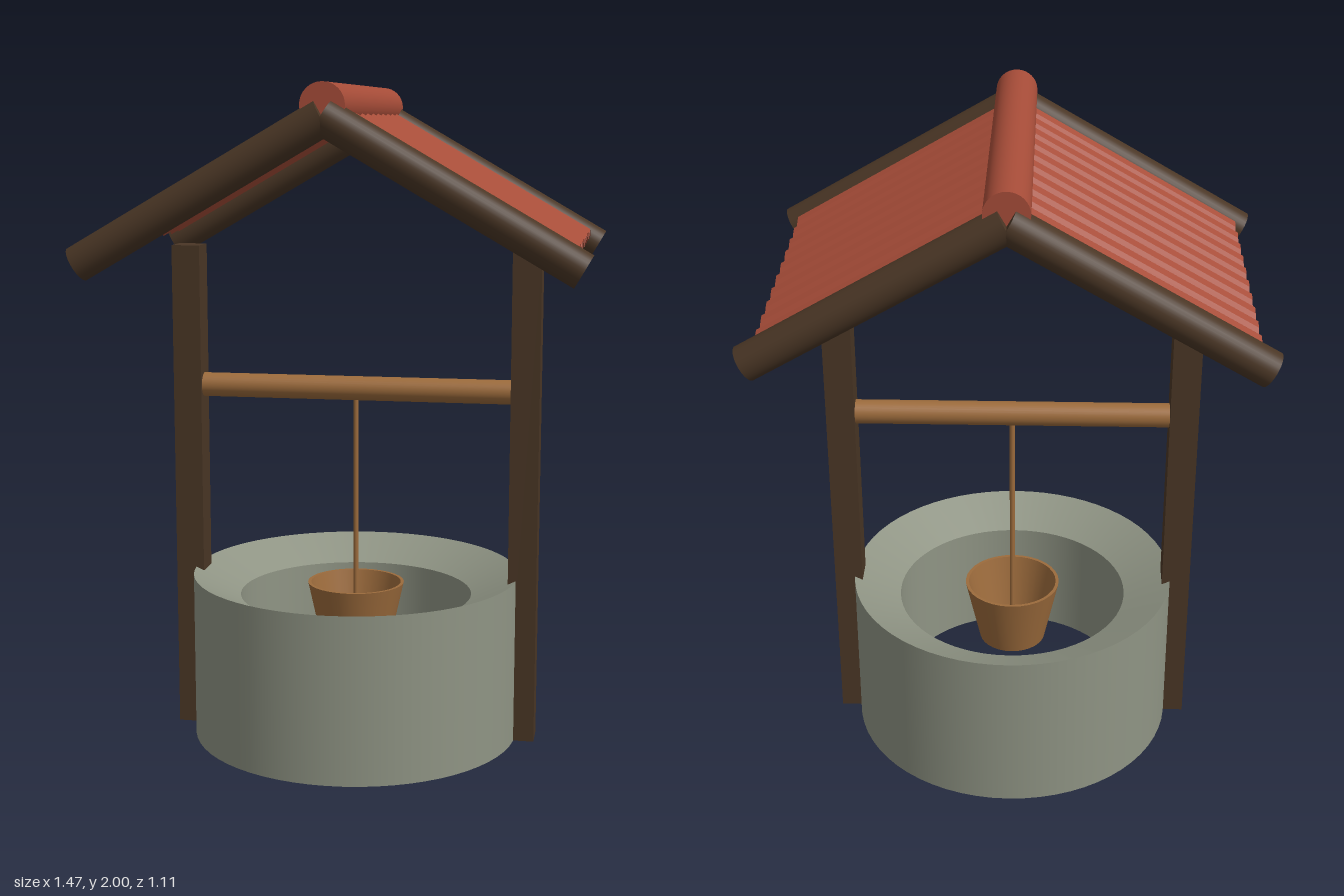
import * as THREE from 'three';
import { mergeGeometries } from 'three/addons/utils/BufferGeometryUtils.js';

const material = (name, color, side = THREE.FrontSide) => {
  const m = new THREE.MeshStandardMaterial({ color, side });
  m.name = name;
  return m;
};

export function createModel() {
  const stone = material('stone', 0x8f9484, THREE.DoubleSide);
  const darkWood = material('darkWood', 0x4a3625);
  const lightWood = material('lightWood', 0x9c6b3c, THREE.DoubleSide);
  const clay = material('clayTile', 0xa64c38, THREE.DoubleSide);

  const well = new THREE.Group();
  well.name = 'well';
  const add = (name, geometry, mat, x = 0, y = 0, z = 0) => {
    const mesh = new THREE.Mesh(geometry, mat);
    mesh.name = name;
    mesh.position.set(x, y, z);
    well.add(mesh);
    return mesh;
  };

  // Lathe with a sharp edge at every profile point
  const sharpLathe = (profile, segments) => mergeGeometries(
    profile.slice(1).map((p, i) => new THREE.LatheGeometry(
      [new THREE.Vector2(...profile[i]), new THREE.Vector2(...p)], segments)));

  // Stone ring, its rims sloping towards the opening
  add('stoneWall', sharpLathe(
    [[0.505, 0], [0.505, 0.51], [0.36, 0.44], [0.36, 0.08], [0.505, 0]], 64), stone);

  // Posts
  for (const side of [-1, 1]) {
    add(side > 0 ? 'leftPost' : 'rightPost',
      new THREE.BoxGeometry(0.087, 1.52, 0.09), darkWood, side * 0.522, 0.76, 0);
  }

  // Axle, rope and open bucket
  add('axle', new THREE.CylinderGeometry(0.037, 0.037, 0.97, 32), lightWood, 0, 1.086, 0)
    .rotation.z = Math.PI / 2;
  add('rope', new THREE.CylinderGeometry(0.008, 0.008, 0.79, 12), lightWood, 0, 0.675, 0);
  add('bucket', sharpLathe(
    [[0, 0.27], [0.105, 0.27], [0.15, 0.475], [0.14, 0.475], [0.097, 0.285], [0, 0.285]], 32), lightWood);

  // Sloping gable beams, front and back
  const apexY = 1.906, slope = Math.tan(Math.PI / 6);
  const beamLength = 0.817;
  for (const z of [-0.505, 0.505]) {
    for (const side of [-1, 1]) {
      const beam = add('gableBeam', new THREE.CylinderGeometry(0.052, 0.052, beamLength, 32), darkWood,
        side * beamLength / 2 * Math.cos(Math.PI / 6), apexY - beamLength / 4, z);
      beam.rotation.z = side * Math.PI / 3;
    }
  }

  // Corrugated tile sheets: ten faceted arches on each slope
  const facets = 4, arches = 10, depth = 0.92, reach = 0.685;
  const plane = new THREE.PlaneGeometry(reach, depth, 1, facets * arches);
  plane.rotateX(-Math.PI / 2);
  plane.translate(reach / 2, 0, 0);
  const p = plane.attributes.position;
  for (let i = 0; i < p.count; i++) {
    const arch = Math.abs(Math.sin((p.getZ(i) / depth + 0.5) * arches * Math.PI));
    p.setY(i, apexY + 0.014 - p.getX(i) * slope + 0.03 * arch);
  }
  const sheet = plane.toNonIndexed();
  sheet.computeVertexNormals();
  add('leftRoofTiles', sheet, clay);
  add('rightRoofTiles', sheet, clay).rotation.y = Math.PI;

  // Ridge tile
  add('ridgeTile', new THREE.CylinderGeometry(0.063, 0.063, 1.05, 32), clay, 0, 1.937, 0)
    .rotation.x = Math.PI / 2;

  return well;
}
